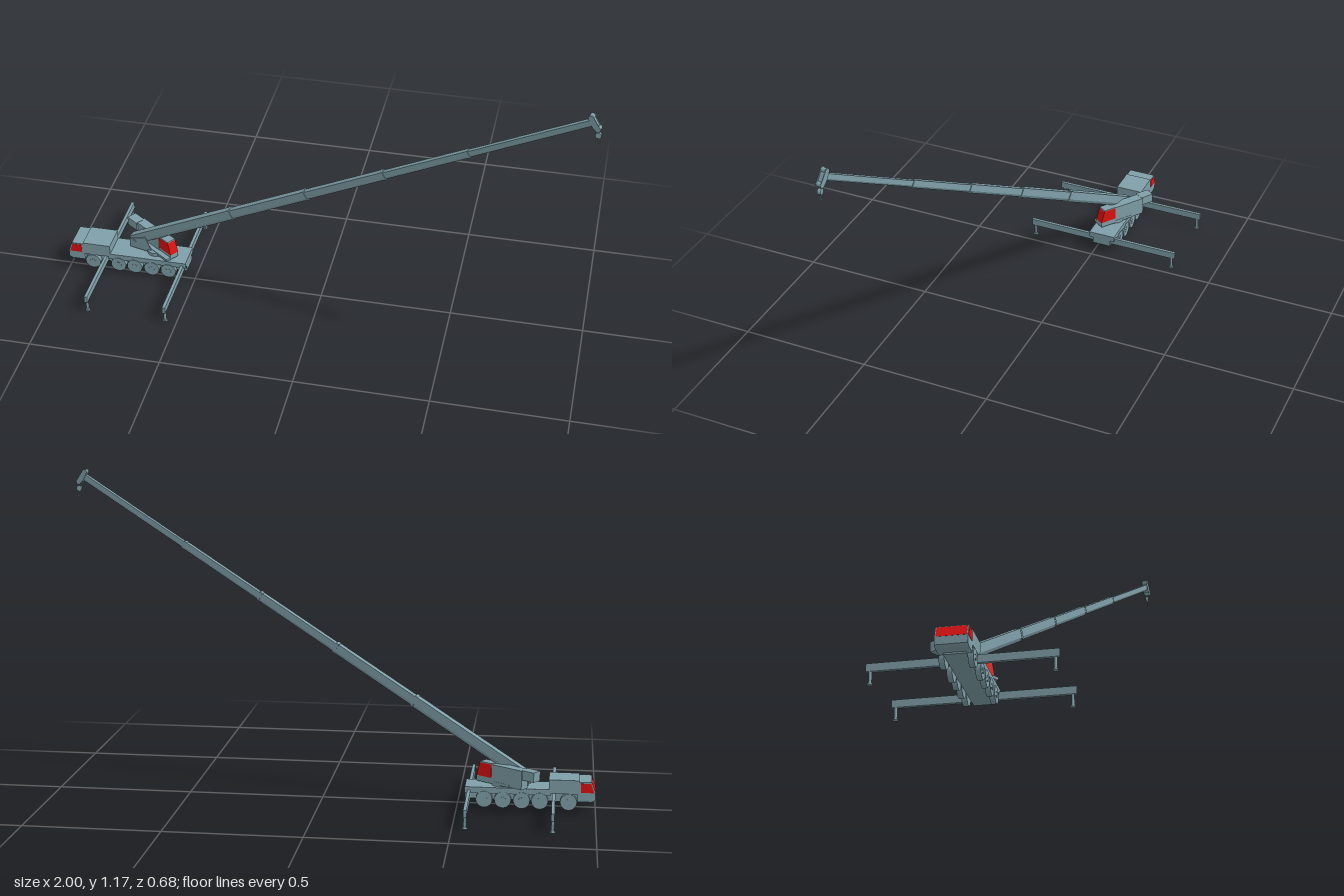
import * as THREE from 'three';

const steel = new THREE.MeshStandardMaterial({ color: 0x7f9fa8 });
const red = new THREE.MeshStandardMaterial({ color: 0xe01010 });
const CZ = -0.031; // centre line of the carrier

function add(parent, name, geo, x = 0, y = 0, z = 0, mat = steel) {
  const m = new THREE.Mesh(geo, mat);
  m.name = name;
  m.position.set(x, y, z);
  parent.add(m);
  return m;
}

// box given by its limits
function box(parent, name, x0, x1, y0, y1, z0, z1, mat) {
  return add(parent, name, new THREE.BoxGeometry(x1 - x0, y1 - y0, z1 - z0),
    (x0 + x1) / 2, (y0 + y1) / 2, (z0 + z1) / 2, mat);
}

// side profile (x, y) extruded between z0 and z1
function prism(parent, name, pts, z0, z1, mat) {
  const shape = new THREE.Shape(pts.map(p => new THREE.Vector2(p[0], p[1])));
  const geo = new THREE.ExtrudeGeometry(shape, { depth: z1 - z0, bevelEnabled: false });
  return add(parent, name, geo, 0, 0, z0, mat);
}

function disc(parent, name, r, width, x, y, z, seg = 24) {
  return add(parent, name, new THREE.CylinderGeometry(r, r, width, seg).rotateX(Math.PI / 2), x, y, z);
}

function buildCarrier(root) {
  const g = new THREE.Group();
  g.name = 'carrier';
  root.add(g);
  const w = 0.053;

  // chassis, deck and engine housing
  box(g, 'chassis', -0.95, -0.53, 0.037, 0.075, CZ - 0.036, CZ + 0.036);
  box(g, 'deck', -0.84, -0.53, 0.062, 0.084, CZ - w, CZ + w);
  box(g, 'engineHousing', -0.94, -0.832, 0.07, 0.121, CZ - w, CZ + w);

  // driving cab with raked windscreen
  prism(g, 'drivingCab', [[-0.999, 0.05], [-0.985, 0.043], [-0.935, 0.043], [-0.935, 0.116],
    [-0.985, 0.116], [-0.999, 0.078]], CZ - w, CZ + w);
  prism(g, 'windscreen', [[-1.0, 0.077], [-0.99, 0.077], [-0.976, 0.113], [-0.987, 0.113]],
    CZ - w + 0.004, CZ + w - 0.004, red);
  for (const s of [-1, 1]) {
    const z = CZ + s * w;
    prism(g, 'sideWindow', [[-0.994, 0.077], [-0.946, 0.077], [-0.946, 0.111], [-0.982, 0.111]],
      z - 0.0012, z + 0.0012, red);
  }

  // five axles of wheels
  for (const x of [-0.903, -0.80, -0.735, -0.667, -0.60])
    for (const s of [-1, 1]) {
      disc(g, 'wheel', 0.03, 0.018, x, 0.04, CZ + s * 0.046);
      disc(g, 'wheelHub', 0.011, 0.004, x, 0.04, CZ + s * 0.054, 16);
    }

  // outriggers
  for (const x of [-0.85, -0.545]) {
    box(g, 'outriggerBeam', x - 0.006, x + 0.006, 0.044, 0.071, CZ - 0.309, CZ + 0.309);
    for (const s of [-1, 1]) {
      const z = CZ + s * 0.295;
      add(g, 'outriggerLeg', new THREE.CylinderGeometry(0.0055, 0.0055, 0.045, 12), x, 0.0245, z);
      add(g, 'outriggerPad', new THREE.CylinderGeometry(0.008, 0.010, 0.005, 16), x, 0.0025, z);
    }
  }
}

function buildUpperworks(root) {
  const g = new THREE.Group();
  g.name = 'upperworks';
  g.position.set(-0.66, 0, -0.035);
  g.rotation.y = -0.61;
  root.add(g);

  add(g, 'slewingRing', new THREE.CylinderGeometry(0.036, 0.036, 0.016, 32), 0, 0.09, 0);
  box(g, 'machineryHouse', -0.115, 0.02, 0.091, 0.162, -0.035, 0.003);
  box(g, 'slewingPlatform', -0.06, 0.085, 0.09, 0.1, -0.036, 0.02);
  box(g, 'counterweight', -0.165, -0.11, 0.127, 0.163, -0.03, 0.009);

  // operator cab: grey base and roof, red glazing
  box(g, 'operatorCabBase', 0.02, 0.087, 0.092, 0.111, -0.036, 0.001);
  prism(g, 'operatorCabGlazing', [[0.02, 0.111], [0.087, 0.111], [0.073, 0.161], [0.02, 0.161]],
    -0.036, 0.001, red);
  prism(g, 'operatorCabRoof', [[0.018, 0.161], [0.073, 0.161], [0.072, 0.165], [0.018, 0.165]],
    -0.036, 0.001);
}

function buildBoom(root) {
  const base = new THREE.Vector3(-0.755, 0.118, -0.052);
  const tip = new THREE.Vector3(0.973, 1.147, 0.321);
  const d = tip.clone().sub(base);
  const length = d.length();
  const yaw = -Math.atan2(d.z, d.x);

  // bracket carrying the boom foot
  const foot = new THREE.Group();
  foot.name = 'boomSupport';
  foot.position.copy(base);
  foot.rotation.y = yaw;
  root.add(foot);
  for (const s of [-1, 1])
    prism(foot, 'supportPlate', [[-0.008, -0.026], [0.09, -0.03], [0.06, 0.035], [0.015, 0.02], [-0.008, 0.01]],
      s * 0.018 - 0.002, s * 0.018 + 0.002);
  disc(foot, 'footPin', 0.007, 0.044, 0.012, 0.004, 0, 16);

  const g = new THREE.Group();
  g.name = 'boom';
  g.position.copy(base);
  g.rotation.set(0, yaw, Math.asin(d.y / length));
  root.add(g);

  // telescopic sections: flat top, chamfered belly
  const stops = [0, 0.246, 0.419, 0.59, 0.763, 1];
  for (let i = 0; i < 5; i++) {
    const h = 0.0215 - i * 0.0024, w = 0.0155 - i * 0.0016;
    const start = (stops[i] - (i ? 0.02 : 0)) * length, end = stops[i + 1] * length;
    const section = (name, k, x0, x1) => {
      const pts = [[-w, h], [-w, -h * 0.45], [-w * 0.5, -h], [w * 0.5, -h], [w, -h * 0.45], [w, h]];
      const shape = new THREE.Shape(pts.map(p => new THREE.Vector2(p[0] * k, p[1] * k)));
      const geo = new THREE.ExtrudeGeometry(shape, { depth: x1 - x0, bevelEnabled: false });
      add(g, name, geo.rotateY(Math.PI / 2), x0, 0, 0);
    };
    section('boomSection', 1, start, end);
    if (i < 4) section('sectionCollar', 1.07, end - 0.012, end);
  }

  // boom head with sheaves
  for (const s of [-1, 1])
    prism(g, 'headPlate', [[-0.012, 0.024], [-0.004, 0.03], [0.006, 0.026], [0.01, -0.03], [0.002, -0.038],
      [-0.008, -0.034], [-0.014, -0.01]], s * 0.01 - 0.0015, s * 0.01 + 0.0015).position.x = length;
  disc(g, 'upperSheave', 0.009, 0.016, length - 0.002, 0.02, 0, 20);
  disc(g, 'lowerSheave', 0.009, 0.016, length + 0.001, -0.027, 0, 20);
  box(g, 'headCore', length - 0.012, length + 0.004, -0.02, 0.014, -0.009, 0.009);

  // hook block hanging from the head
  const hook = new THREE.Group();
  hook.name = 'hookBlock';
  hook.position.set(0.988, 1.098, 0.324);
  root.add(hook);
  for (const s of [-1, 1])
    add(hook, 'rope', new THREE.CylinderGeometry(0.0012, 0.0012, 0.03, 6), 0, 0.018, s * 0.003);
  disc(hook, 'block', 0.0105, 0.012, 0, 0, 0, 20);
  add(hook, 'hookShank', new THREE.CylinderGeometry(0.002, 0.002, 0.012, 8), 0, -0.014, 0);
  add(hook, 'hook', new THREE.TorusGeometry(0.0065, 0.002, 8, 20, Math.PI * 1.5), 0, -0.025, 0).rotation.z = -Math.PI;
}

export function createModel() {
  const root = new THREE.Group();
  root.name = 'mobileCrane';
  buildCarrier(root);
  buildUpperworks(root);
  buildBoom(root);
  return root;
}
